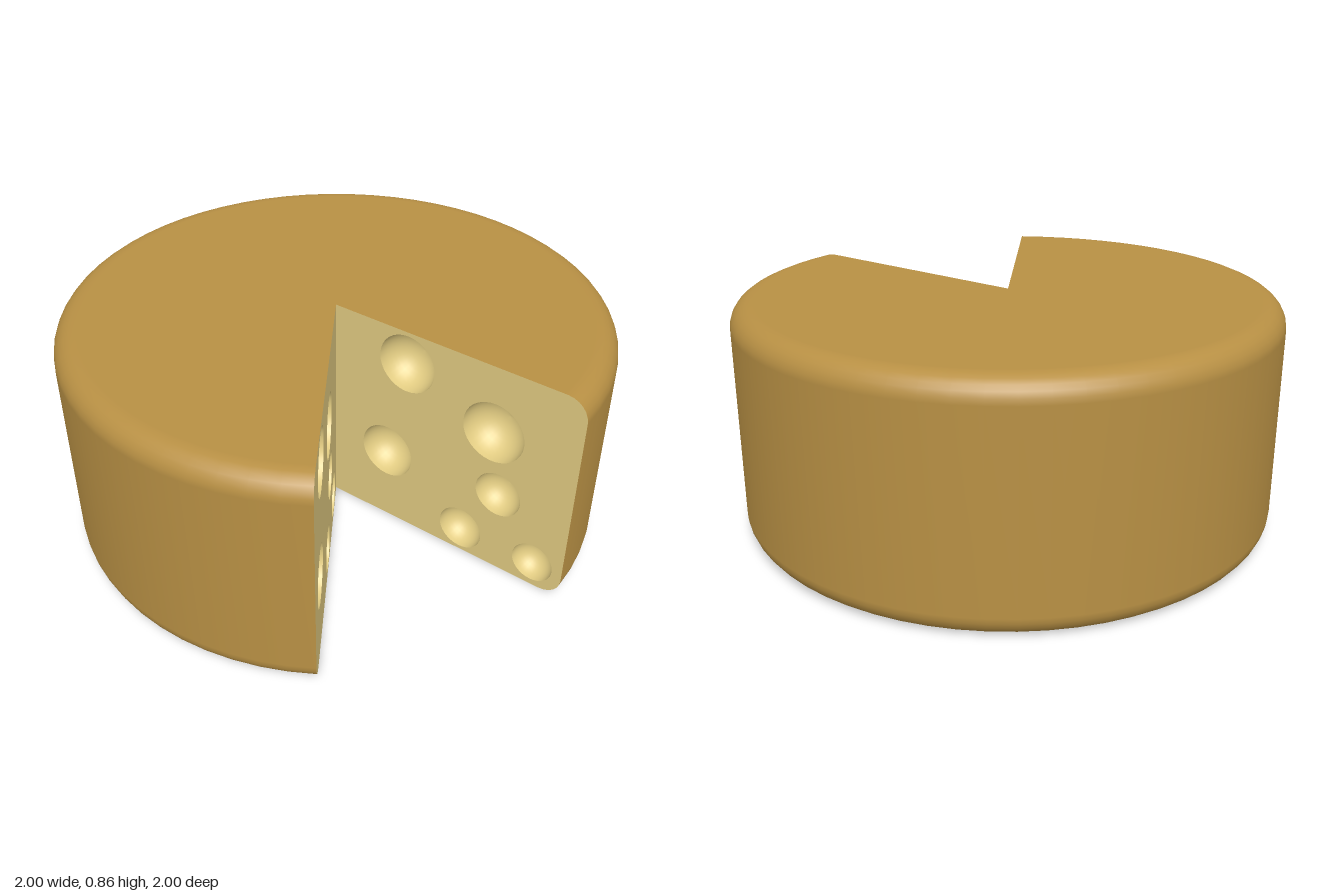
import * as THREE from 'three';

const HEIGHT = 0.855;
const RADIUS = 1;
const FILLET = 0.08;
const GAP = THREE.MathUtils.degToRad(56.25); // angle of the missing wedge

// Half cross-section of the wheel, from bottom centre to top centre
function wheelProfile() {
  const points = [new THREE.Vector2(0, 0), new THREE.Vector2(RADIUS - FILLET - 0.01, 0)];
  for (const [cy, start] of [[FILLET, -Math.PI / 2], [HEIGHT - FILLET, 0]]) {
    for (let i = 0; i <= 6; i++) {
      const a = start + (i / 6) * Math.PI / 2;
      points.push(new THREE.Vector2(RADIUS - FILLET + FILLET * Math.cos(a), cy + FILLET * Math.sin(a)));
    }
  }
  points.push(new THREE.Vector2(RADIUS - FILLET - 0.01, HEIGHT), new THREE.Vector2(0, HEIGHT));
  return points;
}

// Hollow half ball opening towards +z, its surface facing inwards
function dimpleGeometry(r) {
  const arc = [];
  for (let i = 0; i <= 10; i++) {
    const a = (i / 10) * Math.PI / 2;
    arc.push(new THREE.Vector2(i === 10 ? 0 : r * Math.cos(a), -r * Math.sin(a)));
  }
  return new THREE.LatheGeometry(arc, 32).rotateX(Math.PI / 2);
}

// Flat cut face with round holes; side is +1 or -1 for the direction it runs along x
function cutFace(name, holes, side, material) {
  const group = new THREE.Group();
  group.name = name;
  const shape = new THREE.Shape(wheelProfile().map(p => new THREE.Vector2(p.x * side, p.y)));
  for (const [s, y, r] of holes) {
    const path = new THREE.Path();
    path.absarc(s * side, y, r, 0, Math.PI * 2, true);
    shape.holes.push(path);
    const dimple = new THREE.Mesh(dimpleGeometry(r), material);
    dimple.name = 'cheeseHole';
    dimple.position.set(s * side, y, 0);
    group.add(dimple);
  }
  const face = new THREE.Mesh(new THREE.ShapeGeometry(shape, 16), material);
  face.name = 'cutSurface';
  group.add(face);
  return group;
}

export function createModel() {
  const model = new THREE.Group();
  model.name = 'cheeseWheel';
  const rindMaterial = new THREE.MeshStandardMaterial({ color: 0xb89044 });
  rindMaterial.name = 'rind';
  const cheeseMaterial = new THREE.MeshStandardMaterial({ color: 0xe2cc82 });
  cheeseMaterial.name = 'paleCheese';

  // Rind: top, bottom and rounded wall, open at the wedge
  const rind = new THREE.Mesh(
    new THREE.LatheGeometry(wheelProfile(), 54, Math.PI / 2, Math.PI * 2 - GAP), rindMaterial);
  rind.name = 'rind';
  model.add(rind);

  // Cut faces; each hole is [distance from axis, height, radius]
  const frontHoles = [
    [0.313, 0.725, 0.115], [0.675, 0.59, 0.12], [0.242, 0.305, 0.11],
    [0.718, 0.335, 0.09], [0.58, 0.102, 0.088], [0.882, 0.102, 0.08],
  ];
  const sideHoles = [
    [0.735, 0.725, 0.115], [0.371, 0.59, 0.12], [0.806, 0.305, 0.11],
    [0.329, 0.335, 0.09], [0.464, 0.102, 0.088], [0.161, 0.102, 0.09],
  ];
  model.add(cutFace('frontCutFace', frontHoles, 1, cheeseMaterial));
  const sideFace = cutFace('sideCutFace', sideHoles, -1, cheeseMaterial);
  sideFace.rotation.y = Math.PI - GAP;
  model.add(sideFace);
  return model;
}
